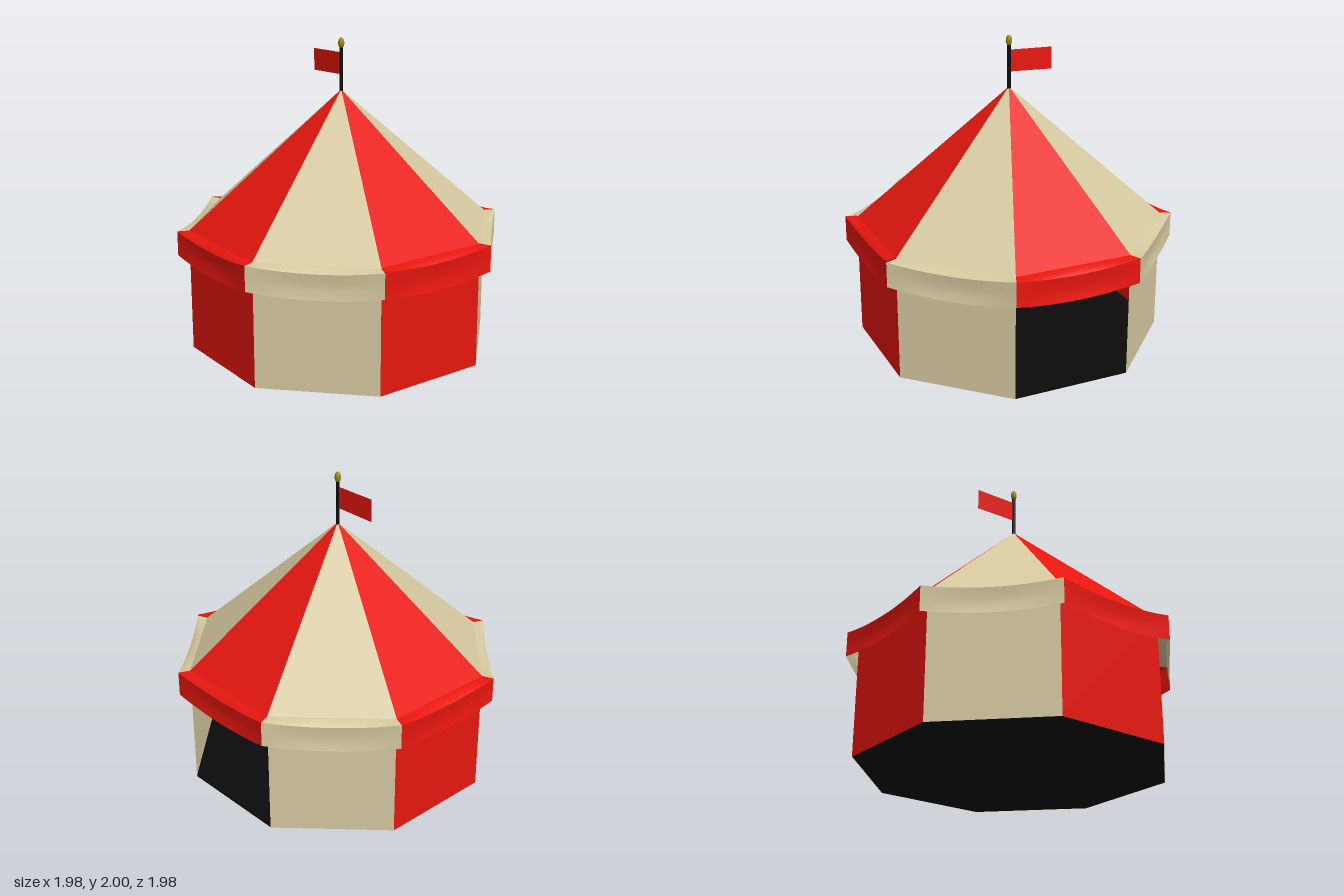
import * as THREE from 'three';

const SIDES = 8;
const TAN = Math.tan(Math.PI / SIDES);
const WALL = 0.92;   // centre to middle of a wall
const VALANCE = 0.99; // centre to middle of a valance
const EAVE = 0.8;

const cloth = (color) => new THREE.MeshStandardMaterial({ color, side: THREE.DoubleSide });
const red = cloth(0xe6160f);
const cream = cloth(0xd6c9a0);
const black = new THREE.MeshStandardMaterial({ color: 0x0b0b0b });
const gold = new THREE.MeshStandardMaterial({ color: 0x9a8a10 });

// Cloth strip facing +z through rows of { r, y, sag, bow }:
// each row spans one side of the octagon, dipping by sag and pulled in by bow.
function strip(rows, cols) {
  const pos = [], index = [];
  rows.forEach(({ r, y, sag = 0, bow = 0 }, j) => {
    for (let i = 0; i <= cols; i++) {
      const u = (2 * i) / cols - 1;
      const dip = 1 - u * u;
      pos.push(u * r * TAN, y - sag * dip, r - bow * dip);
      if (j > 0 && i < cols) {
        const a = (j - 1) * (cols + 1) + i, b = j * (cols + 1) + i;
        index.push(a, b, a + 1, b, b + 1, a + 1);
      }
    }
  });
  const geo = new THREE.BufferGeometry();
  geo.setAttribute('position', new THREE.Float32BufferAttribute(pos, 3));
  geo.setIndex(index);
  geo.computeVertexNormals();
  return geo;
}

export function createModel() {
  const tent = new THREE.Group();
  tent.name = 'tent';
  const add = (parent, name, geo, mat) => {
    const mesh = new THREE.Mesh(geo, mat);
    mesh.name = name;
    parent.add(mesh);
    return mesh;
  };

  // Shared panel shapes
  const wall = strip([{ r: WALL, y: EAVE }, { r: WALL, y: 0 }], 1);
  const roof = strip([{ r: 0.01, y: 1.66 }, { r: WALL, y: EAVE }], 1);

  // Eight striped sides; the +x side is the open doorway
  for (let k = 0; k < SIDES; k++) {
    const side = new THREE.Group();
    side.name = `side${k}`;
    side.rotation.y = (k * 2 * Math.PI) / SIDES;
    tent.add(side);
    const mat = k % 2 ? cream : red;
    const lift = k === 0 ? 0.008 : 0; // front valance sits slightly higher

    add(side, 'roofPanel', roof, mat);
    if (k !== 2) add(side, 'wallPanel', wall, mat);
    add(side, 'valanceLip', strip([
      { r: WALL, y: EAVE + lift },
      { r: 0.96, y: EAVE + lift, sag: 0.01 },
      { r: VALANCE, y: EAVE + lift, sag: 0.032, bow: 0.008 },
    ], 12), mat);
    add(side, 'valanceSkirt', strip([
      { r: VALANCE, y: EAVE + lift, sag: 0.032, bow: 0.008 },
      { r: VALANCE, y: 0.74, sag: 0.032, bow: 0.016 },
      { r: VALANCE, y: 0.69, sag: 0.032, bow: 0.016 },
      { r: VALANCE, y: 0.64, sag: 0.032, bow: 0.004 },
    ], 12), mat);
  }

  // Floor slab
  const radius = (WALL - 0.002) / Math.cos(Math.PI / SIDES);
  const floor = add(tent, 'floor', new THREE.CylinderGeometry(radius, radius, 0.014, SIDES), black);
  floor.rotation.y = Math.PI / SIDES;
  floor.position.y = 0.007;

  // Pole and finial
  const pole = add(tent, 'pole', new THREE.CylinderGeometry(0.012, 0.012, 0.3, 12), black);
  pole.position.y = 1.79;
  const finial = add(tent, 'finial', new THREE.SphereGeometry(0.02, 12, 10), gold);
  finial.scale.y = 1.75;
  finial.position.y = 1.965;

  // Flag flying towards the back
  const pennant = new THREE.Shape([
    [0.01, 1.765], [0.3, 1.755], [0.3, 1.898], [0.01, 1.905],
  ].map(([x, y]) => new THREE.Vector2(x, y)));
  const flag = add(tent, 'flag', new THREE.ShapeGeometry(pennant), red);
  flag.rotation.y = Math.PI / 2;

  return tent;
}
